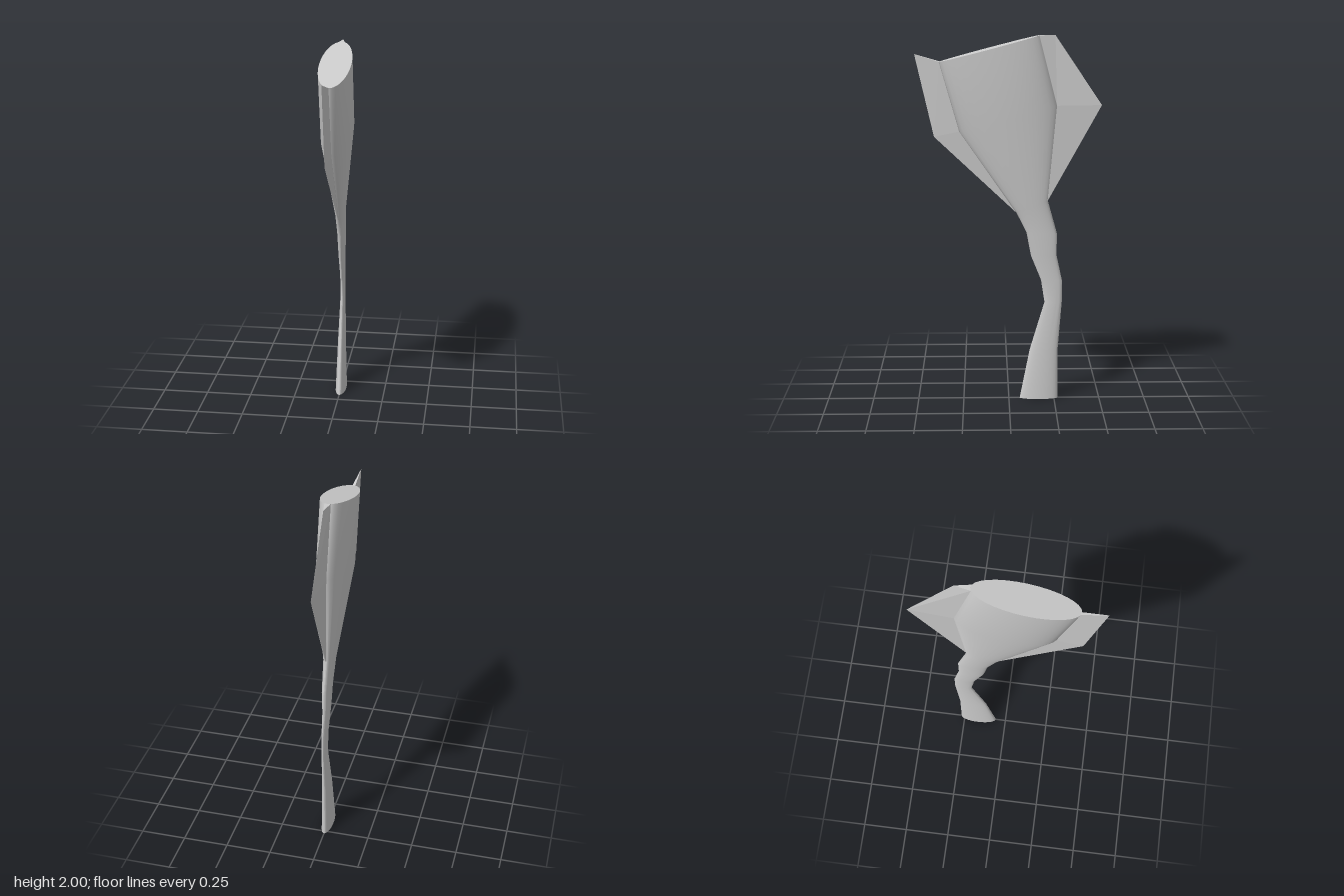
import * as THREE from 'three';
import { toCreasedNormals } from 'three/addons/utils/BufferGeometryUtils.js';

const SIDES = 32;
const STEP = (Math.PI * 2) / SIDES;

// Elliptical stations, bottom to top: front z, front y, back z, back y, half width
const STATIONS = [
  [-0.06, 0, -0.27, 0, 0.03],
  [-0.115, 0.28, -0.27, 0.29, 0.021],
  [-0.195, 0.55, -0.29, 0.55, 0.013],
  [-0.175, 0.675, -0.29, 0.67, 0.014],
  [-0.12, 0.81, -0.26, 0.81, 0.018],
  [-0.095, 0.94, -0.26, 0.935, 0.023],
  [-0.04, 1.05, -0.21, 1.115, 0.028],
  [0.265, 1.49, -0.26, 1.63, 0.083],
  [0.37, 1.86, -0.165, 2.0, 0.083],
];

// Point on a tilted ellipse; angle 0 is the front, PI the back
function onStation([zf, yf, zb, yb, w], angle) {
  const c = Math.cos(angle);
  return new THREE.Vector3(
    w * Math.sin(angle),
    (yf + yb) / 2 + ((yf - yb) / 2) * c,
    (zf + zb) / 2 + ((zf - zb) / 2) * c,
  );
}

// Skin closed rings (counter-clockwise from above), with flat end caps
function loft(rings, crease) {
  const n = rings[0].length;
  const pts = [];
  const tri = (a, b, c) => pts.push(a, b, c);
  for (let j = 0; j < rings.length - 1; j++) {
    const lo = rings[j], hi = rings[j + 1];
    for (let i = 0; i < n; i++) {
      const k = (i + 1) % n;
      tri(lo[i], lo[k], hi[k]);
      tri(lo[i], hi[k], hi[i]);
    }
  }
  const bottom = rings[0], top = rings[rings.length - 1];
  for (let i = 1; i < n - 1; i++) {
    tri(bottom[0], bottom[i + 1], bottom[i]);
    tri(top[0], top[i], top[i + 1]);
  }
  const geometry = new THREE.BufferGeometry().setFromPoints(pts);
  geometry.computeVertexNormals();
  return crease ? toCreasedNormals(geometry, crease) : geometry;
}

// Wedge fin growing from the flared head between two angles to a sharp edge
function fin(from, to, edge) {
  const rings = STATIONS.slice(-3).map((s, i) => [
    onStation(s, from),
    new THREE.Vector3(...edge[i]),
    onStation(s, to),
  ]);
  return loft(rings);
}

export function createModel() {
  const group = new THREE.Group();
  const material = new THREE.MeshStandardMaterial({ color: 0xcccccc });
  const add = (name, geometry) => {
    const mesh = new THREE.Mesh(geometry, material);
    mesh.name = name;
    group.add(mesh);
  };

  // Curved stalk opening into a flat, slanted head
  const rings = STATIONS.map((s) =>
    Array.from({ length: SIDES }, (_, i) => onStation(s, i * STEP)));
  add('stalkAndHead', loft(rings, 0.7));

  // Front fin, its edge slightly to one side
  add('frontFin', fin(-STEP, 0, [[-0.003, 1.05, -0.038], [-0.017, 1.46, 0.4], [-0.017, 1.9, 0.5]]));

  // Back fin, centred
  add('backFin', fin(Math.PI - STEP, Math.PI + STEP,
    [[0, 1.115, -0.211], [0, 1.63, -0.495], [0, 2, -0.245]]));

  return group;
}
